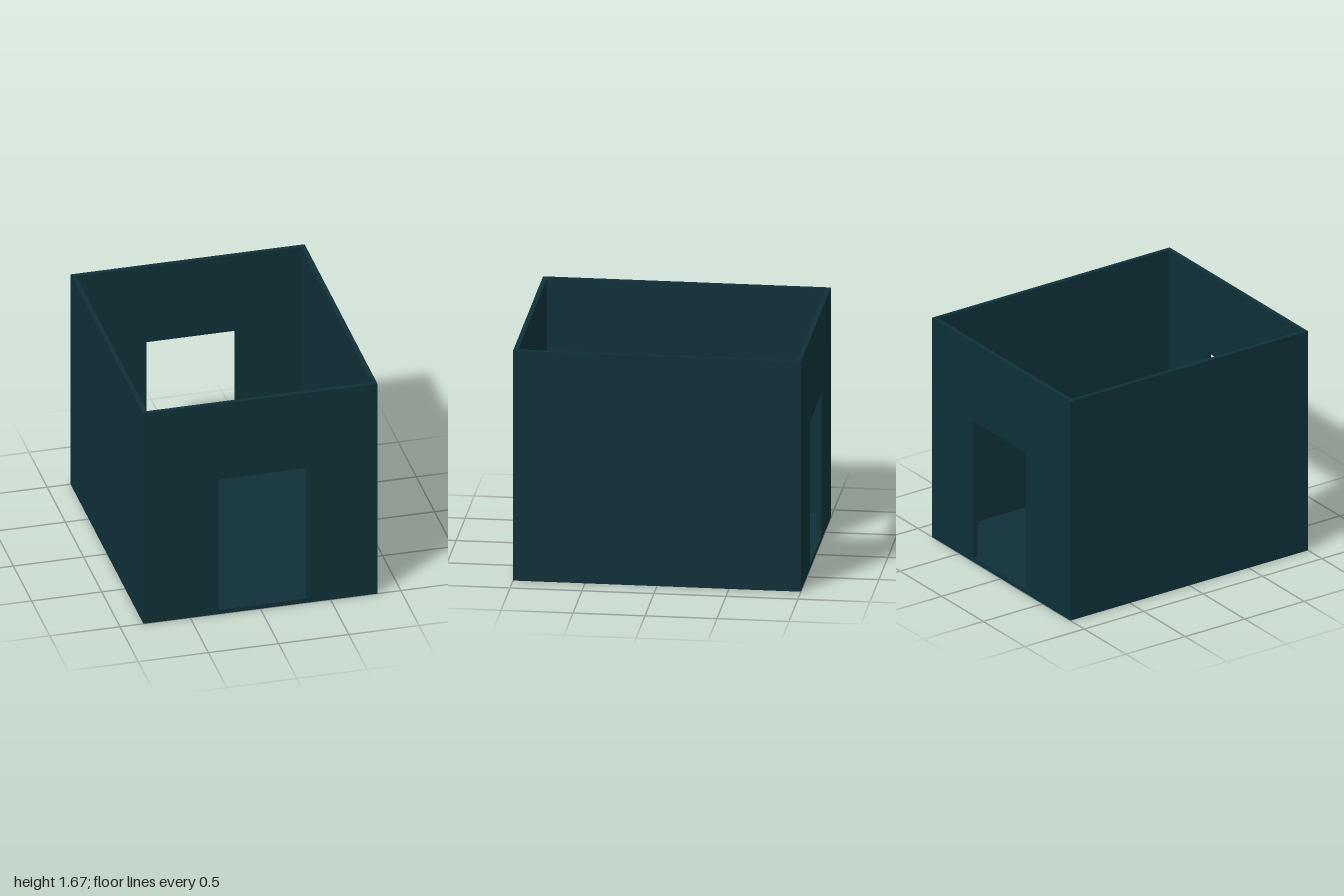
import * as THREE from 'three';

const W = 1.667, H = 1.667, D = 2, T = 0.033; // outer size and panel thickness
const DOOR = { left: -0.3, right: 0.333, top: 1.07 };

export function createModel() {
  const room = new THREE.Group();
  room.name = 'room';
  const teal = new THREE.MeshStandardMaterial({ color: 0x0e2f37 });
  teal.name = 'dark teal';

  const add = (name, geometry, x, y, z) => {
    const mesh = new THREE.Mesh(geometry, teal);
    mesh.name = name;
    mesh.position.set(x, y, z);
    room.add(mesh);
  };

  // Floor slab
  add('floor', new THREE.BoxGeometry(W, T, D), 0, T / 2, 0);

  // Solid side walls, fitted between the end walls
  const side = new THREE.BoxGeometry(T, H - T, D - 2 * T);
  add('leftWall', side, (W - T) / 2, (H + T) / 2, 0);
  add('rightWall', side, -(W - T) / 2, (H + T) / 2, 0);

  // End walls with a doorway reaching down to the floor
  const outline = new THREE.Shape([
    [-W / 2, T], [DOOR.left, T], [DOOR.left, DOOR.top], [DOOR.right, DOOR.top],
    [DOOR.right, T], [W / 2, T], [W / 2, H], [-W / 2, H],
  ].map(([x, y]) => new THREE.Vector2(x, y)));
  const end = new THREE.ExtrudeGeometry(outline, { depth: T, bevelEnabled: false });
  add('frontWall', end, 0, 0, D / 2 - T);
  add('backWall', end, 0, 0, -D / 2);

  return room;
}
